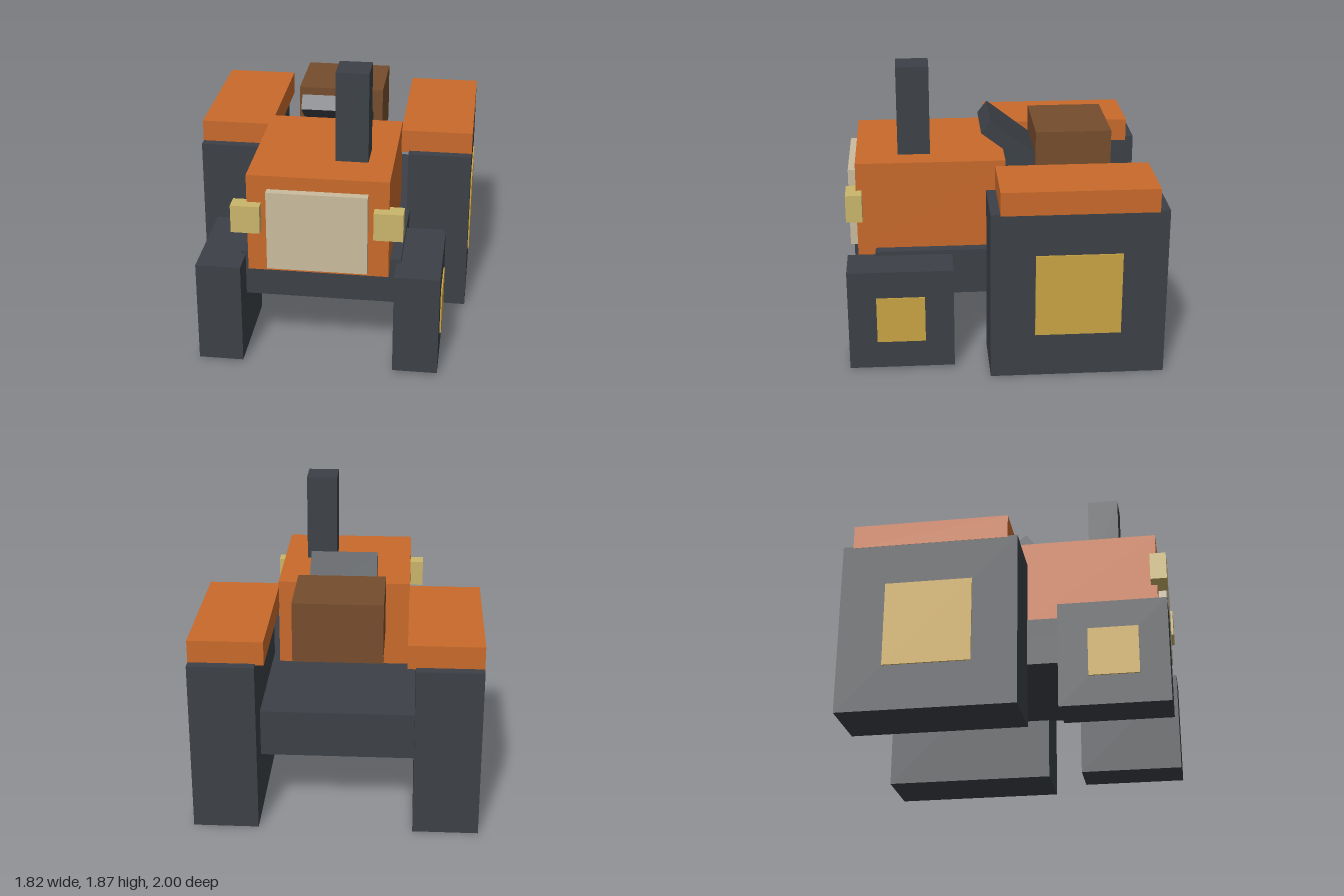
import * as THREE from 'three';

const flat = (name, color) => {
  const m = new THREE.MeshStandardMaterial({ color });
  m.name = name;
  return m;
};

export function createModel() {
  const orange = flat('orange paint', 0xc8692a);
  const dark = flat('dark rubber and iron', 0x3c4147);
  const gold = flat('gold hub', 0xc9a444);
  const lamp = flat('lamp yellow', 0xc9b56a);
  const grilleTan = flat('grille tan', 0xc9bb9e);
  const brown = flat('seat brown', 0x754c2c);

  const model = new THREE.Group();
  model.name = 'tractor';

  // Box given by its extents along x, y and z
  const block = (name, material, [x0, x1], [y0, y1], [z0, z1]) => {
    const mesh = new THREE.Mesh(new THREE.BoxGeometry(x1 - x0, y1 - y0, z1 - z0), material);
    mesh.position.set((x0 + x1) / 2, (y0 + y1) / 2, (z0 + z1) / 2);
    mesh.name = name;
    model.add(mesh);
    return mesh;
  };

  // Same box on both sides
  const pair = (name, material, [x0, x1], y, z) => {
    block('left ' + name, material, [x0, x1], y, z);
    block('right ' + name, material, [-x1, -x0], y, z);
  };

  // Body
  block('chassis', dark, [-0.505, 0.505], [0.405, 0.71], [-0.785, 0.82]);
  block('hood', orange, [-0.437, 0.437], [0.647, 1.29], [-0.02, 0.933]);
  block('grille', grilleTan, [-0.31, 0.31], [0.685, 1.203], [0.92, 0.985]);
  block('exhaust', dark, [0.075, 0.28], [1.25, 1.87], [0.455, 0.663]);
  block('seat', brown, [-0.283, 0.283], [1.03, 1.42], [-0.717, -0.227]);
  pair('headlight', lamp, [0.347, 0.527], [0.93, 1.11], [0.895, 0.999]);

  // Tilted steering wheel
  const steering = block('steeringWheel', dark, [-0.22, 0.22], [1.255, 1.357], [-0.303, 0.137]);
  steering.position.set(0, 1.306, -0.083);
  steering.rotation.x = -0.66;

  // Wheels, hubs and fenders
  pair('rearWheel', dark, [0.487, 0.9], [0, 1.11], [-1, 0.107]);
  pair('rearHub', gold, [0.9, 0.909], [0.287, 0.83], [-0.717, -0.173]);
  pair('frontWheel', dark, [0.477, 0.76], [0.015, 0.683], [0.33, 1]);
  pair('frontHub', gold, [0.76, 0.769], [0.2, 0.505], [0.513, 0.82]);
  pair('fender', orange, [0.435, 0.901], [1.1, 1.253], [-0.937, 0.046]);

  return model;
}
